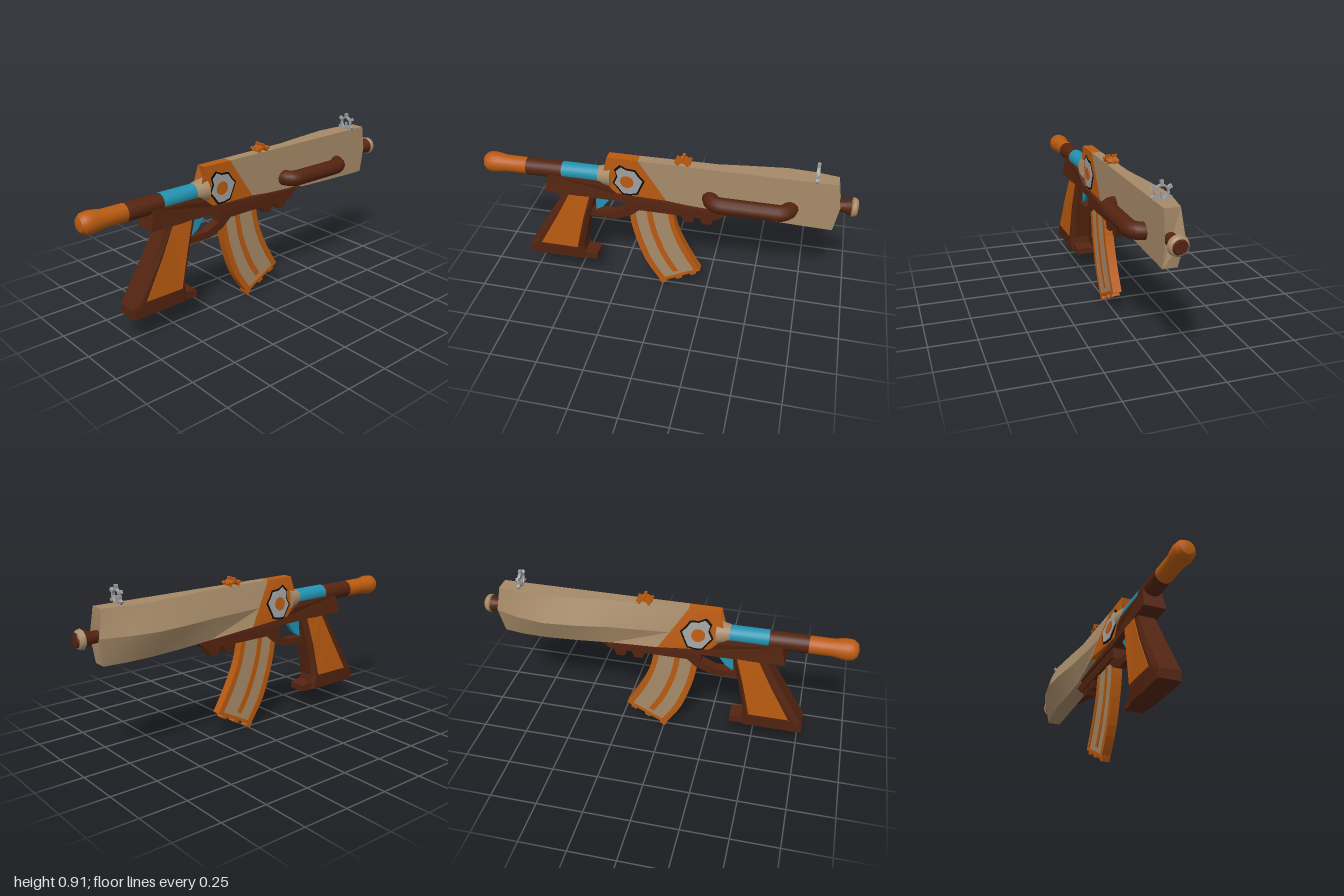
import * as THREE from 'three';
import { toCreasedNormals } from 'three/addons/utils/BufferGeometryUtils.js';

const mat = (name, color) => Object.assign(new THREE.MeshStandardMaterial({ color }), { name });

export function createModel() {
  const root = new THREE.Group();
  root.name = 'toyRifle';
  const tan = mat('tan', 0xa68a68), orange = mat('orange', 0xb95a10), brown = mat('darkBrown', 0x542410);
  const cyan = mat('cyan', 0x2292b0), grey = mat('grey', 0xa0a0a0), black = mat('black', 0x0c0c0c);

  const add = (name, geo, material) => {
    const m = new THREE.Mesh(geo, material);
    m.name = name;
    root.add(m);
    return m;
  };

  // Flat plate: [z, y] outline extruded along x from x0 to x1, optionally bent by a rule
  const side = (name, pts, x0, x1, material, rule) => {
    const shape = new THREE.Shape(pts.map(([z, y]) => new THREE.Vector2(-z, y)));
    const geo = new THREE.ExtrudeGeometry(shape, { depth: x1 - x0, bevelEnabled: false });
    geo.rotateY(Math.PI / 2).translate(x0, 0, 0);
    if (rule) {
      const p = geo.attributes.position;
      for (let i = 0; i < p.count; i++) p.setX(i, rule(p.getX(i), p.getY(i), p.getZ(i)));
      geo.computeVertexNormals();
    }
    return add(name, geo, material);
  };

  // Skin over rings of [x, y, z] points, capped at both ends, turned outward
  const loft = (name, rings, material, crease = 0.3) => {
    const pos = [], n = rings[0].length, last = rings[rings.length - 1];
    const tri = (a, b, c) => pos.push(...a, ...b, ...c);
    for (let r = 0; r < rings.length - 1; r++)
      for (let i = 0; i < n; i++) {
        const j = (i + 1) % n, a = rings[r], b = rings[r + 1];
        tri(a[i], a[j], b[j]);
        tri(a[i], b[j], b[i]);
      }
    for (let i = 1; i < n - 1; i++) {
      tri(rings[0][0], rings[0][i + 1], rings[0][i]);
      tri(last[0], last[i], last[i + 1]);
    }
    let volume = 0;
    const v = (i) => new THREE.Vector3().fromArray(pos, i);
    for (let i = 0; i < pos.length; i += 9) volume += v(i).dot(v(i + 3).cross(v(i + 6)));
    if (volume < 0)
      for (let i = 0; i < pos.length; i += 9)
        for (let k = 0; k < 3; k++) [pos[i + 3 + k], pos[i + 6 + k]] = [pos[i + 6 + k], pos[i + 3 + k]];
    const geo = new THREE.BufferGeometry();
    geo.setAttribute('position', new THREE.Float32BufferAttribute(pos, 3));
    geo.computeVertexNormals();
    return add(name, toCreasedNormals(geo, crease), material);
  };

  // Turned part along z from [radius, z] points, listed from low z to high z
  const turned = (name, pts, y, material) => {
    const geo = new THREE.LatheGeometry(pts.map(([r, z]) => new THREE.Vector2(r, z)), 20);
    geo.rotateX(Math.PI / 2).translate(0, y, 0);
    return add(name, toCreasedNormals(geo, 0.6), material);
  };

  // Stock rod
  turned('stockEnd', [[0, 0.75], [0.046, 0.75], [0.046, 0.87], [0.053, 0.91], [0.056, 0.94], [0.052, 0.97],
    [0.036, 0.99], [0, 1]], 0.692, orange);
  turned('stockMiddle', [[0, 0.55], [0.047, 0.55], [0.047, 0.75], [0, 0.75]], 0.692, brown);
  turned('stockFront', [[0, 0.34], [0.045, 0.34], [0.045, 0.55], [0, 0.55]], 0.697, cyan);
  turned('stockCollar', [[0, 0.28], [0.062, 0.28], [0.046, 0.35], [0, 0.35]], 0.697, tan);

  // Body: lopsided, flat on the left and swelling on the right
  const ring = (zTop, zMid, zLow, xTop, xMid, xLow, yLow) => [
    [0.032, yLow, zLow], [0.032, 0.69, zMid], [0.032, 0.825, zTop],
    [xTop, 0.825, zTop], [xMid, 0.69, zMid], [xLow, yLow, zLow]];
  const seam = ring(0.13, 0.04, -0.02, -0.022, -0.056, -0.077, 0.6);
  loft('bodyRear', [ring(0.295, 0.33, 0.25, -0.022, -0.036, -0.044, 0.605), seam], orange);
  loft('bodyFront', [seam,
    ring(-0.28, -0.28, -0.28, -0.03, -0.083, -0.055, 0.572),
    ring(-0.45, -0.45, -0.45, -0.052, -0.11, -0.06, 0.562),
    ring(-0.63, -0.63, -0.63, -0.072, -0.126, -0.066, 0.556),
    ring(-0.77, -0.77, -0.77, -0.064, -0.105, -0.058, 0.552),
    ring(-0.885, -0.908, -0.885, -0.045, -0.062, -0.04, 0.55)], tan);

  // Painted splash on both sides of the rear body
  const splash = [[0.265, 0.675], [0.245, 0.72], [0.255, 0.755], [0.225, 0.785], [0.19, 0.768], [0.145, 0.765],
    [0.125, 0.735], [0.098, 0.705], [0.115, 0.665], [0.135, 0.62], [0.175, 0.61], [0.215, 0.61], [0.24, 0.645]];
  const dot = Array.from({ length: 14 }, (_, i) => {
    const a = (i / 14) * Math.PI * 2;
    return [0.19 + 0.036 * Math.cos(a), 0.692 + 0.036 * Math.sin(a)];
  });
  const grow = (pts, s) => pts.map(([z, y]) => [0.185 + (z - 0.185) * s, 0.695 + (y - 0.695) * s]);
  const slope = (x, y, z) => {
    const drop = 0.825 - y, t = (0.31 - z) / (0.18 + 0.667 * drop);
    return x - 0.022 - drop * (0.1 + 0.15 * t);
  };
  [['splashOutline', grow(splash, 1.04), black], ['splash', grow(splash, 0.91), grey], ['splashDot', dot, orange]]
    .forEach(([name, pts, m], i) => {
      const h = 0.003 + i * 0.003;
      side(name + 'Left', pts, 0.031, 0.032 + h, m);
      side(name + 'Right', pts, -0.002 - h, -h + 0.004, m, slope);
    });

  // Receiver and under-rail
  const flare = (x, y, z) => x * (1 + Math.max(0, 0.68 - y) * 1.8) * (z < 0.3 ? 0.8 : 1);
  side('receiver', [[0.62, 0.68], [0.645, 0.578], [0.2, 0.568], [-0.37, 0.575], [0, 0.595], [0.25, 0.608],
    [0.3, 0.65], [0.34, 0.68]], -0.05, 0.05, brown, flare);
  side('underRail', [[0.205, 0.58], [0.205, 0.51], [0.18, 0.518], [-0.29, 0.518], [-0.37, 0.58]], -0.036, 0.036, brown);
  for (const z of [-0.138, -0.238])
    side('railTooth', [[z + 0.04, 0.52], [z + 0.022, 0.475], [z - 0.022, 0.475], [z - 0.04, 0.52]], -0.028, 0.028, brown);

  // Trigger and guard
  side('triggerGuard', [[0.41, 0.47], [0.28, 0.47], [0.205, 0.505], [0.205, 0.57], [0.1, 0.56], [0.12, 0.518],
    [0.18, 0.466], [0.265, 0.432], [0.41, 0.432]], -0.026, 0.026, brown);
  side('trigger', [[0.37, 0.58], [0.275, 0.575], [0.335, 0.495], [0.375, 0.47]], -0.015, 0.015, cyan);

  // Grip: eight-sided sections that widen toward the foot
  const grip = (y, rear, front, edge, wide) => [
    [edge, y, rear], [wide, y, rear - 0.03], [wide, y, front + 0.02], [edge * 0.8, y, front],
    [-edge * 0.8, y, front], [-wide, y, front + 0.02], [-wide, y, rear - 0.03], [-edge, y, rear]];
  loft('grip', [grip(0.143, 0.77, 0.44, 0.057, 0.059), grip(0.195, 0.77, 0.445, 0.056, 0.064),
    grip(0.225, 0.752, 0.45, 0.055, 0.067), grip(0.42, 0.636, 0.41, 0.05, 0.061),
    grip(0.58, 0.545, 0.368, 0.045, 0.05)], brown);
  side('gripFoot', [[0.5, 0.143], [0.376, 0.143], [0.376, 0.176], [0.44, 0.188], [0.5, 0.2]], -0.05, 0.05, brown);
  const gripWidth = (y) => y < 0.42 ? 0.067 - (y - 0.225) * 0.0308 : 0.061 - (y - 0.42) * 0.0688;
  const panel = [[0.695, 0.228], [0.482, 0.228], [0.44, 0.42], [0.398, 0.575], [0.512, 0.575], [0.59, 0.42]];
  side('gripPanelLeft', panel, -0.002, 0.004, orange, (x, y) => x + gripWidth(y));
  side('gripPanelRight', panel, -0.004, 0.002, orange, (x, y) => x - gripWidth(y));

  // Curved magazine: strips between the rear and front edge curves
  const curve = (pts) => new THREE.SplineCurve(pts.map(([z, y]) => new THREE.Vector2(z, y)));
  const rearEdge = curve([[0.192, 0.54], [0.172, 0.4], [0.137, 0.27], [0.09, 0.15], [0.008, 0.025]]);
  const frontEdge = curve([[-0.05, 0.54], [-0.072, 0.43], [-0.105, 0.34], [-0.15, 0.25], [-0.212, 0.143]]);
  const at = (s, t) => rearEdge.getPoint(t).lerp(frontEdge.getPoint(t), s).toArray();
  const strip = (name, s0, s1, t0, t1, w, m) => {
    const pts = [], n = 10;
    for (let i = 0; i <= n; i++) pts.push(at(s0, t0 + (t1 - t0) * i / n));
    for (let i = n; i >= 0; i--) pts.push(at(s1, t0 + (t1 - t0) * i / n));
    side(name, pts, -w, w, m);
  };
  strip('magazineCore', 0.04, 0.96, 0, 0.98, 0.019, tan);
  strip('magazineRearFrame', 0, 0.13, 0, 1, 0.024, orange);
  strip('magazineFrontFrame', 0.88, 1, 0, 1, 0.024, orange);
  strip('magazineRib', 0.4, 0.52, 0, 0.91, 0.023, orange);
  strip('magazineBase', 0, 1, 0.955, 1, 0.024, orange);
  for (const s of [0.04, 0.44, 0.8]) {
    const [z, y] = at(s, 1);
    const stud = add('magazineStud', new THREE.BoxGeometry(0.044, 0.03, 0.034), orange);
    stud.position.set(0, y, z);
    stud.rotation.x = 0.49;
  }

  // Side handle
  const path = new THREE.CurvePath();
  const bend = [[0, -0.25], [0.05, -0.26], [0.083, -0.32], [0.083, -0.6], [0.05, -0.655], [0, -0.665]]
    .map(([x, z]) => new THREE.Vector3(x, 0.649, z));
  path.add(new THREE.QuadraticBezierCurve3(bend[0], new THREE.Vector3(0.083, 0.649, -0.25), bend[2]));
  path.add(new THREE.LineCurve3(bend[2], bend[3]));
  path.add(new THREE.QuadraticBezierCurve3(bend[3], new THREE.Vector3(0.083, 0.649, -0.665), bend[5]));
  add('sideHandle', new THREE.TubeGeometry(path, 28, 0.043, 12), brown);

  // Muzzle
  turned('muzzle', [[0, -1], [0.03, -1], [0.036, -0.988], [0.046, -0.968], [0.03, -0.92], [0.03, -0.88], [0, -0.88]], 0.687, brown);
  turned('muzzleRing', [[0.036, -0.994], [0.046, -0.985], [0.05, -0.968], [0.044, -0.962], [0.036, -0.962]], 0.687, tan);

  // Gear outline with square teeth between two angles
  const gearShape = (outer, tip, inner, teeth, start, span) => {
    const pts = [], at2 = (r, a) => pts.push(new THREE.Vector2(r * Math.cos(a), r * Math.sin(a)));
    const step = span / teeth;
    for (let i = 0; i < teeth; i++)
      [[outer, 0], [outer, 0.32], [tip, 0.36], [tip, 0.64], [outer, 0.68], [outer, 1]]
        .forEach(([r, f]) => at2(r, start + (i + f) * step));
    const full = span > 6;
    if (!full) for (let i = 8; i >= 0; i--) at2(inner, start + span * i / 8);
    const shape = new THREE.Shape(pts);
    if (full) shape.holes.push(new THREE.Path().absarc(0, 0, inner, 0, Math.PI * 2, true));
    return shape;
  };
  const solid = (shape, depth) =>
    new THREE.ExtrudeGeometry(shape, { depth, bevelEnabled: false, curveSegments: 20 }).translate(0, 0, -depth / 2);

  // Front gear sight
  add('frontSight', solid(gearShape(0.036, 0.055, 0.028, 6, 0, Math.PI * 2), 0.016), grey).position.set(0, 0.862, -0.777);
  add('frontSightPost', new THREE.BoxGeometry(0.009, 0.045, 0.012), grey).position.set(0, 0.843, -0.777);

  // Rear half-gear sight, notched in the middle
  for (const x of [-0.0175, 0.0175])
    add('rearSight', solid(gearShape(0.032, 0.046, 0.02, 3, 0, Math.PI), 0.025).rotateY(Math.PI / 2), orange)
      .position.set(x, 0.822, -0.102);
  add('rearSightBridge', solid(gearShape(0.03, 0.03, 0.02, 3, 0, Math.PI), 0.03).rotateY(Math.PI / 2), orange)
    .position.set(0, 0.822, -0.102);

  return root;
}
